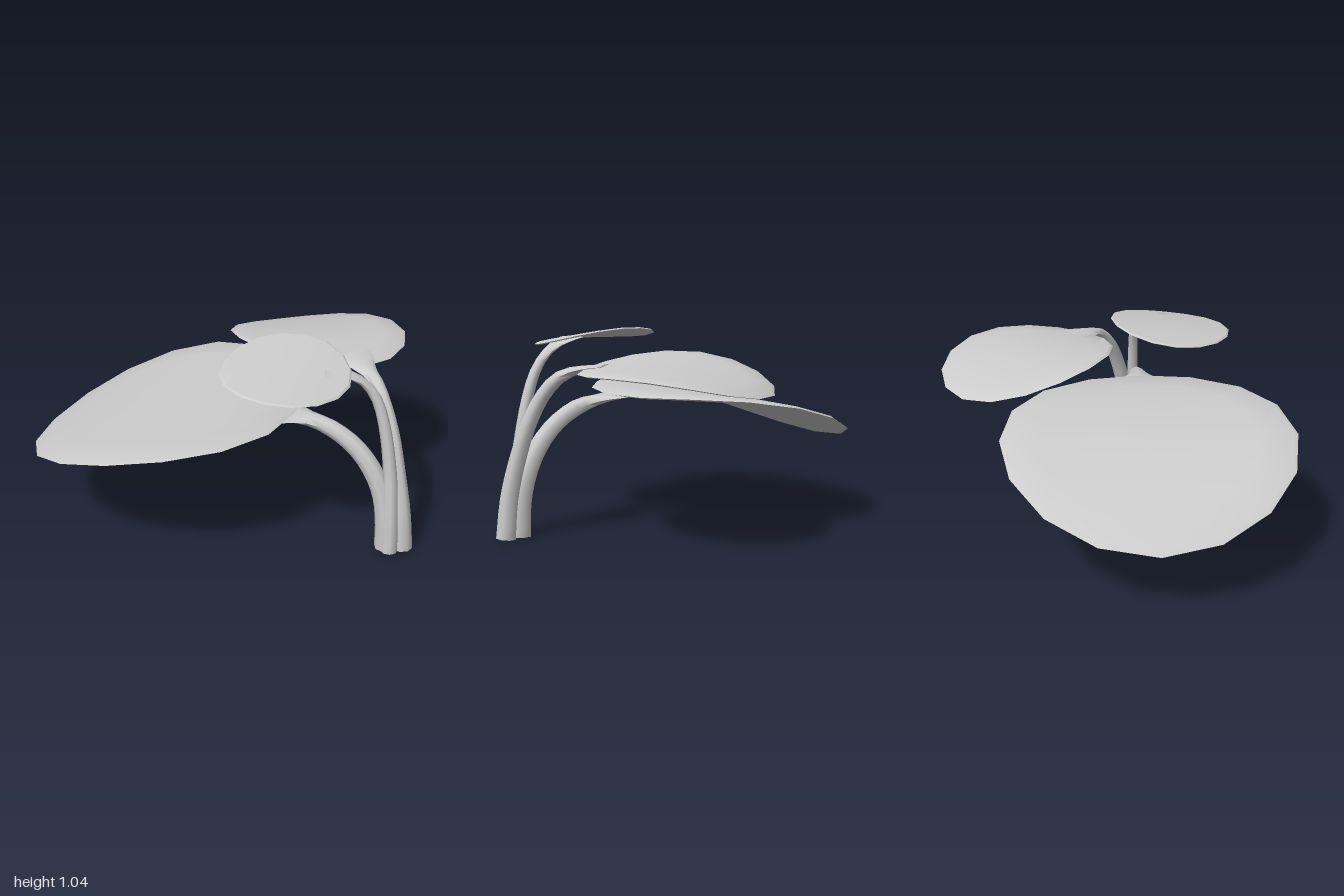
import * as THREE from 'three';
import { toCreasedNormals } from 'three/addons/utils/BufferGeometryUtils.js';

const material = new THREE.MeshStandardMaterial({ color: 0xcccccc });

function addMesh(group, geometry, name, crease) {
  const mesh = new THREE.Mesh(toCreasedNormals(geometry, crease), material);
  mesh.name = name;
  group.add(mesh);
}

// Thin sixteen-sided disc, bent by height(dx, dz) measured from its centre.
function leafGeometry({ centre, rx, rz, thickness, height }) {
  const rings = [0, 0.25, 0.5, 0.75, 0.97];
  const profile = [
    ...rings.map((r) => new THREE.Vector2(r, -thickness / 2)),
    new THREE.Vector2(1, 0),
    ...rings.slice().reverse().map((r) => new THREE.Vector2(r, thickness / 2)),
  ];
  const geometry = new THREE.LatheGeometry(profile, 16);
  const p = geometry.attributes.position;
  for (let i = 0; i < p.count; i++) {
    const dx = p.getX(i) * rx, dz = p.getZ(i) * rz;
    p.setXYZ(i, centre[0] + dx, p.getY(i) + height(dx, dz), centre[1] + dz);
  }
  return geometry;
}

// Tapering stalk that widens and flattens where it runs into its leaf.
function stemGeometry({ path, radii, flare, side }) {
  const steps = 18, sides = 8;
  const curve = new THREE.CatmullRomCurve3(path.map((q) => new THREE.Vector3(...q)));
  const geometry = new THREE.PlaneGeometry(1, 1, sides, steps + 2);
  const p = geometry.attributes.position;
  const across = new THREE.Vector3(side[0], 0, side[1]).normalize();
  for (let i = 0; i < p.count; i++) {
    const row = Math.round((p.getY(i) + 0.5) * (steps + 2));
    const angle = (Math.round((p.getX(i) + 0.5) * sides) % sides) / sides * Math.PI * 2;
    const t = THREE.MathUtils.clamp((row - 1) / steps, 0, 1);
    const cap = row === 0 || row === steps + 2 ? 0 : 1;
    const tangent = curve.getTangentAt(t);
    const s = across.clone().addScaledVector(tangent, -across.dot(tangent)).normalize();
    const n = tangent.clone().cross(s);
    const blend = THREE.MathUtils.smoothstep(t, 0.72, 1);
    const radius = THREE.MathUtils.lerp(radii[0], radii[1], Math.min(1, t * 1.3));
    const width = THREE.MathUtils.lerp(radius, flare, blend * blend);
    const depth = THREE.MathUtils.lerp(radius, 0.007, blend);
    const v = curve.getPointAt(t)
      .addScaledVector(s, Math.cos(angle) * width * cap)
      .addScaledVector(n, Math.sin(angle) * depth * cap);
    p.setXYZ(i, v.x, v.y, v.z);
  }
  return geometry;
}

const plants = [
  {
    name: 'large',
    leaf: {
      centre: [-0.315, 0.16], rx: 0.685, rz: 0.737, thickness: 0.018,
      height: (x) => 0.645 + 0.218 * x - 0.234 * x * x,
    },
    stem: {
      path: [[0.86, 0, 0.16], [0.85, 0.16, 0.16], [0.82, 0.3, 0.155], [0.76, 0.43, 0.155],
        [0.67, 0.54, 0.155], [0.55, 0.62, 0.158], [0.42, 0.66, 0.16], [0.27, 0.685, 0.16]],
      radii: [0.06, 0.042], flare: 0.16, side: [0, 1],
    },
  },
  {
    name: 'back',
    leaf: {
      centre: [0.3, -0.445], rx: 0.468, rz: 0.458, thickness: 0.014,
      height: (x, z) => {
        const along = (-x - z) * Math.SQRT1_2, across = (z - x) * Math.SQRT1_2;
        return 0.868 - 0.106 * along - 0.35 * along * along + 0.07 * across;
      },
    },
    stem: {
      path: [[0.94, 0, 0.14], [0.92, 0.2, 0.135], [0.88, 0.4, 0.11], [0.83, 0.59, 0.065],
        [0.77, 0.73, 0.015], [0.71, 0.81, -0.045], [0.62, 0.85, -0.125], [0.54, 0.866, -0.205]],
      radii: [0.052, 0.034], flare: 0.11, side: [-1, 1],
    },
  },
  {
    name: 'small',
    leaf: {
      centre: [0.355, 0.32], rx: 0.313, rz: 0.317, thickness: 0.012,
      height: (x, z) => 0.988 - 0.12 * z - 0.05 * x - 0.3 * x * x,
    },
    stem: {
      path: [[0.885, 0, 0.195], [0.875, 0.2, 0.185], [0.85, 0.45, 0.16], [0.805, 0.69, 0.155],
        [0.76, 0.82, 0.157], [0.7, 0.9, 0.172], [0.62, 0.95, 0.205], [0.52, 0.978, 0.25]],
      radii: [0.042, 0.025], flare: 0.08, side: [0.3, 1],
    },
  },
];

export function createModel() {
  const model = new THREE.Group();
  model.name = 'leafCluster';
  for (const { name, leaf, stem } of plants) {
    const group = new THREE.Group();
    group.name = `${name}Plant`;
    addMesh(group, leafGeometry(leaf), `${name}Leaf`, 0.5);
    addMesh(group, stemGeometry(stem), `${name}Stem`, 0.9);
    model.add(group);
  }
  return model;
}
